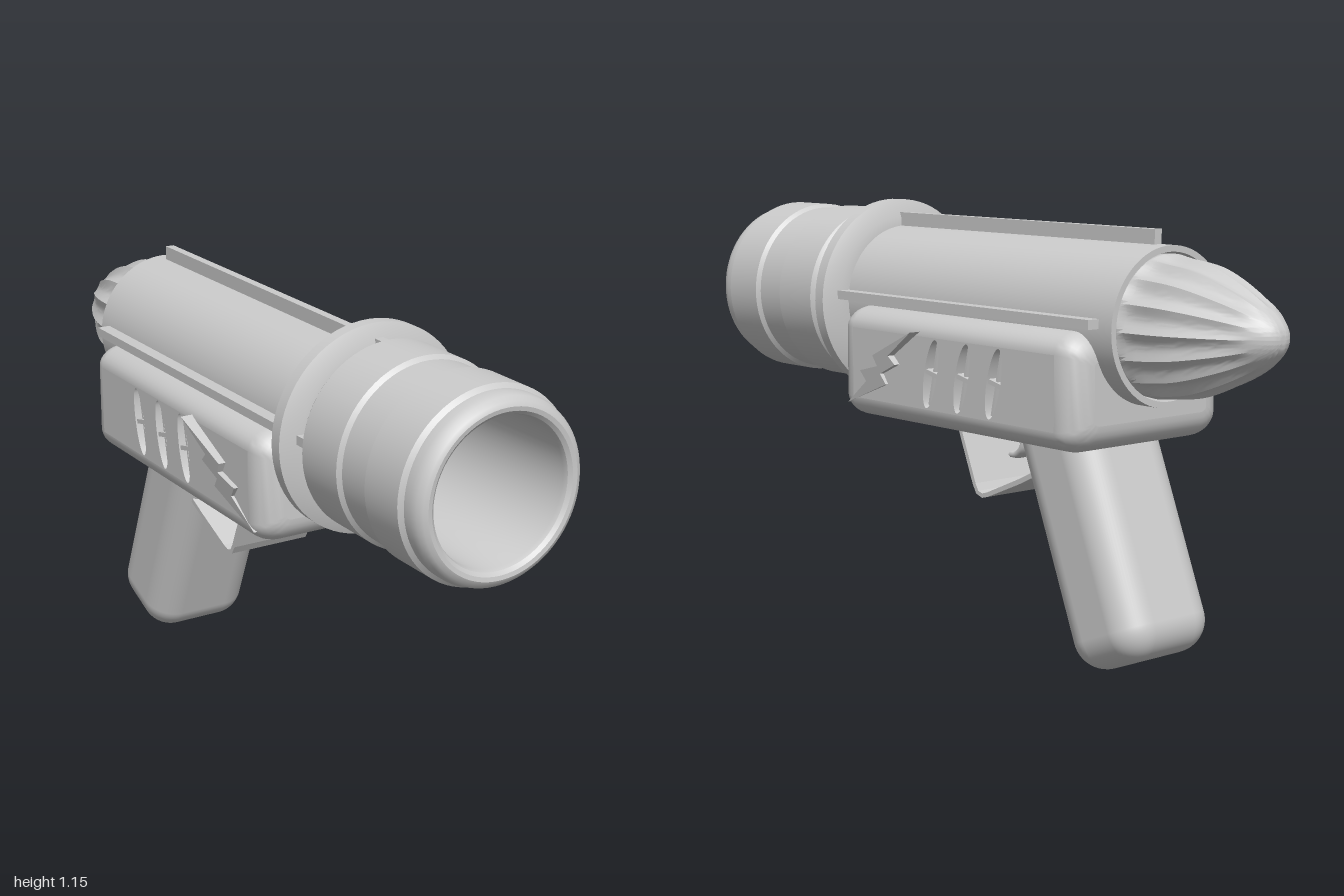
import * as THREE from 'three';
import { toCreasedNormals } from 'three/addons/utils/BufferGeometryUtils.js';
import { RoundedBoxGeometry } from 'three/addons/geometries/RoundedBoxGeometry.js';

const AXIS = 0.89; // height of the barrel axis
const mat = new THREE.MeshStandardMaterial({ color: 0xcccccc });
const matDouble = new THREE.MeshStandardMaterial({ color: 0xcccccc, side: THREE.DoubleSide });

function add(parent, name, geo, material = mat) {
  const mesh = new THREE.Mesh(geo, material);
  mesh.name = name;
  parent.add(mesh);
  return mesh;
}
const vecs = (pts) => pts.map(([a, b]) => new THREE.Vector2(a, b));

// Turned part along z from [radius, z] points
function turned(pts) {
  const g = new THREE.LatheGeometry(vecs(pts), 72).rotateX(Math.PI / 2).translate(0, AXIS, 0);
  return toCreasedNormals(g, 0.5);
}

// Side outline [-z, y] extruded across x, centred
function sidePlate(pts, width) {
  const g = new THREE.ExtrudeGeometry(new THREE.Shape(vecs(pts)), { depth: width, bevelEnabled: false });
  return g.translate(0, 0, -width / 2).rotateY(Math.PI / 2);
}

// Pointed tail with scalloped flutes and a domed inner end
function tailGeometry() {
  const pts = [];
  for (let i = 0; i < 12; i++) {
    const a = (i / 12) * Math.PI / 2;
    pts.push(new THREE.Vector2(0.179 * Math.sin(a), -0.179 * Math.cos(a)));
  }
  const curve = new THREE.SplineCurve(vecs([[0.179, 0], [0.167, 0.1], [0.147, 0.17], [0.112, 0.25],
    [0.078, 0.31], [0.045, 0.35], [0.02, 0.367], [0, 0.37]]));
  pts.push(...curve.getPoints(28));
  pts.forEach((p) => { p.x = Math.max(p.x, 0); });
  const g = new THREE.LatheGeometry(pts, 128);
  const pos = g.attributes.position;
  for (let i = 0; i < pos.count; i++) {
    const x = pos.getX(i), y = pos.getY(i), z = pos.getZ(i);
    const fade = THREE.MathUtils.smoothstep(y, 0, 0.03) * (1 - THREE.MathUtils.smoothstep(y, 0.26, 0.35));
    const k = 1 - 0.085 * fade * Math.abs(Math.sin(8 * Math.atan2(x, z)));
    pos.setXYZ(i, x * k, y, z * k);
  }
  return toCreasedNormals(g.rotateX(-Math.PI / 2).translate(0, AXIS, -0.63), 0.4);
}

// Lower housing: rounded section cradling the barrel, rounded at both ends
const HW = 0.265, Y0 = 0.585, Y1 = 0.885, Z0 = -0.575, Z1 = 0.375, R = 0.07, RX = 0.075, RY = 0.055;
const N = 8, M = 25;

function section(e) {
  const f = 1 - 0.75 * e / R, rx = RX * f, ry = RY * f;
  const cx = HW - e - rx, lo = Y0 + e + ry, hi = Y1 - e - ry;
  const pts = [];
  const corner = (x, y, from) => {
    for (let i = 0; i <= N; i++) {
      const a = (from + i / N) * Math.PI / 2;
      pts.push(new THREE.Vector2(x + rx * Math.cos(a), y + ry * Math.sin(a)));
    }
  };
  corner(cx, lo, -1);
  corner(cx, hi, 0);
  for (let i = 0; i < M; i++) {
    const x = cx * Math.cos((i / (M - 1)) * Math.PI);
    pts.push(new THREE.Vector2(x, AXIS - Math.sqrt(0.195 ** 2 - x * x)));
  }
  corner(-cx, hi, 1);
  corner(-cx, lo, 2);
  return pts;
}

function housing(parent) {
  const stations = [];
  for (let i = 0; i <= N; i++) {
    const a = (i / N) * Math.PI / 2;
    stations.push([Z0 + R * (1 - Math.cos(a)), R * (1 - Math.sin(a))]);
  }
  for (let i = N; i >= 0; i--) stations.push([Z0 + Z1 - stations[i][0], stations[i][1]]);
  const pos = [], index = [], count = 4 * (N + 1) + M;
  stations.forEach(([z, e]) => section(e).forEach((p) => pos.push(p.x, p.y, z)));
  const sideA = N, sideB = 3 * (N + 1) + M - 1;
  for (let s = 0; s < stations.length - 1; s++) {
    for (let i = 0; i < count; i++) {
      if (s === N && (i === sideA || i === sideB)) continue; // left for the slotted panels
      const j = (i + 1) % count, a = s * count, b = a + count;
      index.push(a + i, a + j, b + j, a + i, b + j, b + i);
    }
  }
  const g = new THREE.BufferGeometry();
  g.setAttribute('position', new THREE.Float32BufferAttribute(pos, 3));
  g.setIndex(index);
  add(parent, 'housing', toCreasedNormals(g, 0.6));
  const cap = new THREE.ShapeGeometry(new THREE.Shape(section(R)));
  add(parent, 'housingFrontCap', cap.clone().translate(0, 0, Z1));
  add(parent, 'housingRearCap', cap.translate(0, 0, Z0), matDouble);
}

// One housing side: slotted panel, slot pockets with fins, zigzag ornament
function housingSide(name) {
  const side = new THREE.Group();
  side.name = name;
  const panel = new THREE.Shape(vecs([[-Z1 + R, Y0 + RY], [-Z0 - R, Y0 + RY], [-Z0 - R, Y1 - RY], [-Z1 + R, Y1 - RY]]));
  const tilt = 0.22, depth = 0.04;
  for (const u of [0.03, 0.155, 0.28]) {
    const rim = new THREE.EllipseCurve(u, 0.735, 0.026, 0.093, 0, Math.PI * 2, false, -tilt).getPoints(36);
    rim.pop();
    panel.holes.push(new THREE.Path(rim));
    const place = (g, x) => g.rotateZ(-tilt).translate(u, 0.735, x).rotateY(Math.PI / 2);
    const wall = new THREE.CylinderGeometry(1, 1, depth, 36, 1, true).rotateX(Math.PI / 2).scale(0.026, 0.093, 1);
    add(side, 'slotWall', place(wall, HW - depth / 2), matDouble);
    add(side, 'slotFloor', place(new THREE.CircleGeometry(1, 36).scale(0.026, 0.093, 1), HW - depth));
    add(side, 'slotFin', place(new THREE.BoxGeometry(0.05, 0.012, depth - 0.004), HW - depth / 2 - 0.002));
    add(side, 'slotRib', place(new THREE.BoxGeometry(0.007, 0.17, depth - 0.01), HW - depth / 2 - 0.005));
  }
  add(side, 'slottedPanel', new THREE.ShapeGeometry(panel).rotateY(Math.PI / 2));
  side.children[side.children.length - 1].position.x = HW;

  // Zigzag slab leaning outwards towards its top
  const zig = sidePlate([[-0.332, 0.622], [-0.15, 0.69], [-0.17, 0.717], [-0.1, 0.748], [-0.125, 0.77],
    [-0.016, 0.842], [-0.193, 0.765], [-0.178, 0.737], [-0.257, 0.718], [-0.236, 0.69]], 0.035);
  const p = zig.attributes.position;
  for (let i = 0; i < p.count; i++) p.setX(i, p.getX(i) + 0.246 + 0.15 * (p.getY(i) - 0.622));
  zig.computeVertexNormals();
  add(side, 'zigzagOrnament', zig);
  return side;
}

// Slanted grip, cut level inside the housing
function gripGeometry() {
  const a = 0.384, len = 0.85;
  const g = new RoundedBoxGeometry(0.31, len, 0.267, 8, 0.085);
  g.translate(0, len / 2, 0).rotateX(a).translate(0, 0.037, -0.571);
  const p = g.attributes.position;
  for (let i = 0; i < p.count; i++) {
    const over = p.getY(i) - 0.66;
    if (over > 0) p.setXYZ(i, p.getX(i), 0.66, p.getZ(i) - over * Math.tan(a));
  }
  return g;
}

export function createModel() {
  const root = new THREE.Group();
  root.name = 'rayGun';

  // Barrel tube, front sleeve and flange
  add(root, 'barrel', turned([[0.184, -0.635], [0.2, -0.635], [0.2, 0.49], [0.184, 0.49], [0.184, -0.635]]));
  add(root, 'frontSleeve', turned([[0.184, 0.49], [0.208, 0.49], [0.238, 0.52], [0.245, 0.53], [0.245, 0.68],
    [0.235, 0.69], [0.235, 0.79], [0.245, 0.8], [0.245, 0.932], [0.234, 0.942], [0.234, 0.965], [0.229, 0.983],
    [0.219, 0.995], [0.208, 1], [0.197, 0.998], [0.188, 0.99], [0.184, 0.978], [0.184, 0.49]]));
  add(root, 'flange', turned([[0.195, 0.41], [0.225, 0.412], [0.272, 0.433], [0.272, 0.468],
    [0.225, 0.488], [0.195, 0.49]]));
  add(root, 'flutedTail', tailGeometry());

  // Rails along the top and both sides
  const rail = (name, w, h, x, y) =>
    add(root, name, new THREE.BoxGeometry(w, h, 1.11).translate(x, y, -0.035));
  rail('topRail', 0.024, 0.04, 0, 1.107);
  for (const s of [1, -1]) rail(s > 0 ? 'leftRail' : 'rightRail', 0.04, 0.024, s * 0.213, 0.908);

  // Housing and its two sides
  housing(root);
  root.add(housingSide('leftSide'));
  const right = housingSide('rightSide');
  right.scale.x = -1;
  root.add(right);

  // Grip, trigger guard and trigger
  add(root, 'grip', gripGeometry());
  add(root, 'triggerGuard', sidePlate([[-0.038, 0.6], [-0.034, 0.565], [0.024, 0.425], [0.038, 0.402], [0.062, 0.394],
    [0.085, 0.4], [0.21, 0.452], [0.27, 0.48], [0.26, 0.49], [0.205, 0.464], [0.083, 0.412], [0.062, 0.406],
    [0.046, 0.411], [0.035, 0.43], [-0.022, 0.567], [-0.024, 0.6]], 0.235));
  const hook = new THREE.CatmullRomCurve3([[0.6, -0.105], [0.56, -0.118], [0.525, -0.112], [0.505, -0.09], [0.502, -0.068]]
    .map(([y, z]) => new THREE.Vector3(0, y, z)));
  add(root, 'trigger', new THREE.TubeGeometry(hook, 24, 0.012, 10).scale(2.5, 1, 1), matDouble);
  return root;
}
